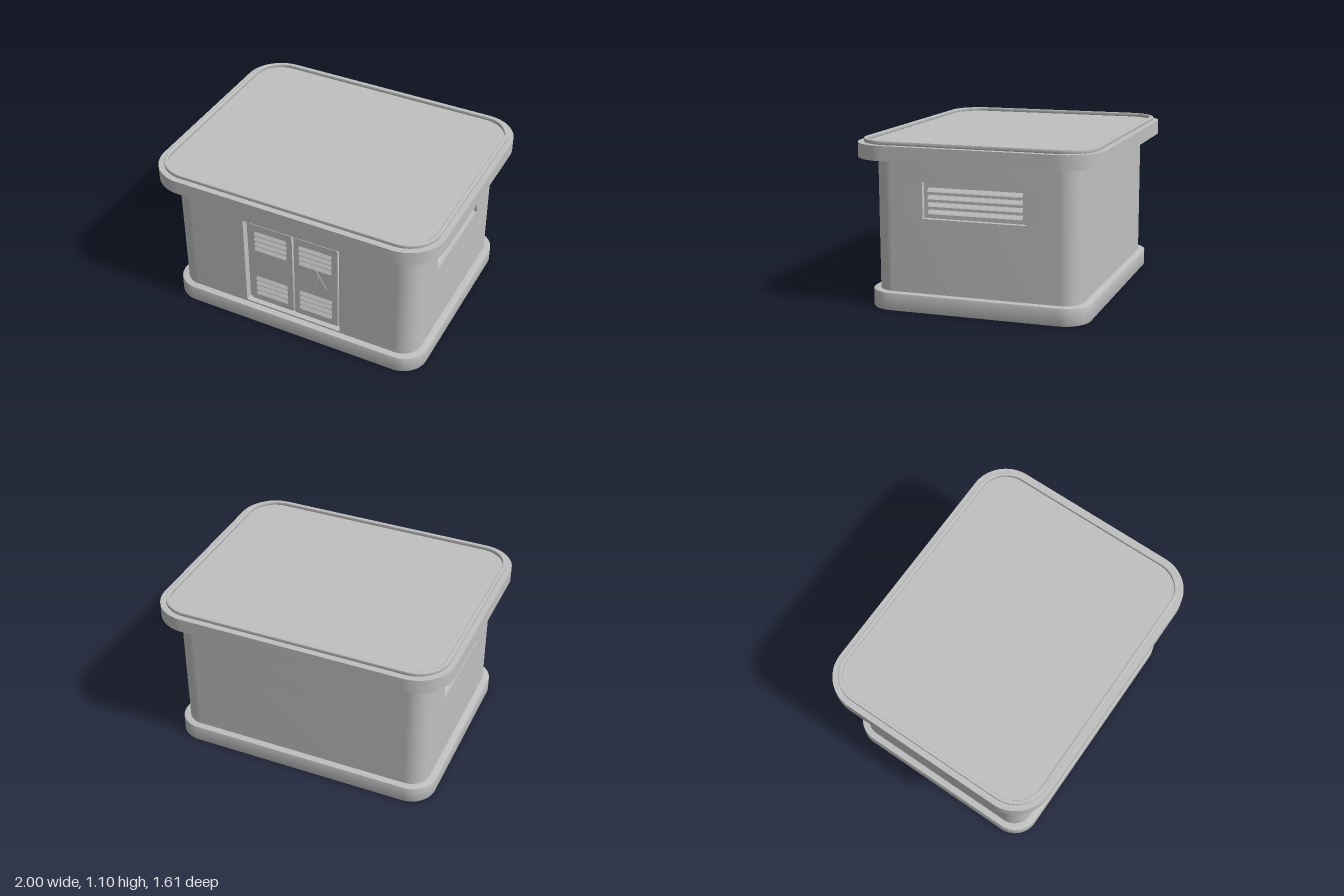
import * as THREE from 'three';
import { toCreasedNormals } from 'three/addons/utils/BufferGeometryUtils.js';

const concrete = new THREE.MeshStandardMaterial({ color: 0xc0c0c0 });
concrete.name = 'grey concrete';

const DOOR_DEPTH = 0.05, VENT_DEPTH = 0.035;
const WALL_X = 0.875, WALL_Z = 0.68;

function add(parent, name, geometry, x = 0, y = 0, z = 0) {
  const mesh = new THREE.Mesh(geometry, concrete);
  mesh.name = name;
  mesh.position.set(x, y, z);
  parent.add(mesh);
  return mesh;
}

// Rounded rectangle footprint, optionally notched for the doorway and side vents
function footprint(hx, hz, r, door = false, vents = false) {
  const s = new THREE.Shape();
  s.moveTo(-hx + r, -hz);
  if (door) {
    s.lineTo(-0.353, -hz);
    s.lineTo(-0.353, -hz + DOOR_DEPTH);
    s.lineTo(0.347, -hz + DOOR_DEPTH);
    s.lineTo(0.347, -hz);
  }
  const notch = (side) => {
    s.lineTo(side * hx, -side * 0.34);
    s.lineTo(side * (hx - VENT_DEPTH), -side * 0.34);
    s.lineTo(side * (hx - VENT_DEPTH), side * 0.34);
    s.lineTo(side * hx, side * 0.34);
  };
  s.lineTo(hx - r, -hz);
  s.absarc(hx - r, -hz + r, r, -Math.PI / 2, 0);
  if (vents) notch(1);
  s.absarc(hx - r, hz - r, r, 0, Math.PI / 2);
  s.absarc(-hx + r, hz - r, r, Math.PI / 2, Math.PI);
  if (vents) notch(-1);
  s.absarc(-hx + r, -hz + r, r, Math.PI, Math.PI * 1.5);
  return s;
}

// Extrude a footprint upward from y0 to y1; the bevel cuts into the shape
function slab(shape, y0, y1, bevel = 0) {
  const g = new THREE.ExtrudeGeometry(shape, {
    depth: y1 - y0 - 2 * bevel, curveSegments: 16, bevelEnabled: bevel > 0,
    bevelSize: bevel, bevelThickness: bevel, bevelOffset: -bevel, bevelSegments: 2,
  });
  g.translate(0, 0, y0 + bevel);
  g.rotateX(-Math.PI / 2);
  return toCreasedNormals(g, 0.5);
}

// Louvre slat: a wedge along x whose lower edge juts out toward +z
function slatGeometry(length, height, out) {
  const s = new THREE.Shape();
  s.moveTo(0, -height / 2);
  s.lineTo(out, -height / 2);
  s.lineTo(out * 0.8, -height / 4);
  s.lineTo(0, height / 2);
  const g = new THREE.ExtrudeGeometry(s, { depth: length, bevelEnabled: false });
  g.translate(0, 0, -length / 2);
  g.rotateY(-Math.PI / 2);
  return g;
}

function polygon(points, depth) {
  const s = new THREE.Shape(points.map(([x, y]) => new THREE.Vector2(x, y)));
  return new THREE.ExtrudeGeometry(s, { depth, bevelEnabled: false });
}

function doorLeaf(name, x0, x1) {
  const leaf = new THREE.Group();
  leaf.name = name;
  const w = x1 - x0, h = 0.64, t = 0.022, r = 0.008;
  leaf.position.set((x0 + x1) / 2, 0.46, WALL_Z - DOOR_DEPTH);
  const panel = new THREE.ExtrudeGeometry(footprint(w / 2, h / 2, r), {
    depth: t, curveSegments: 4, bevelEnabled: false,
  });
  add(leaf, 'doorPanel', toCreasedNormals(panel, 0.5));
  const slat = slatGeometry(0.232, 0.023, 0.015);
  for (const top of [0.715, 0.335]) {
    for (let i = 0; i < 4; i++) {
      add(leaf, 'doorLouvre', slat, 0, top - i * 0.0415 - 0.46, t);
    }
  }
  return leaf;
}

export function createModel() {
  const model = new THREE.Group();
  model.name = 'substationKiosk';

  // Plinth
  add(model, 'plinth', slab(footprint(0.92, 0.725, 0.17), 0, 0.118, 0.008));

  // Walls in height bands, each with the openings found at that level
  const bands = [
    [0.118, 0.13, false, false],
    [0.13, 0.603, true, false],
    [0.603, 0.81, true, true],
    [0.81, 0.837, false, true],
    [0.837, 0.975, false, false],
  ];
  const walls = new THREE.Group();
  walls.name = 'walls';
  for (const [y0, y1, door, vents] of bands) {
    add(walls, 'wallBand', slab(footprint(WALL_X, WALL_Z, 0.13, door, vents), y0, y1));
  }
  model.add(walls);

  // Roof slab and its raised rim
  add(model, 'roofSlab', slab(footprint(1, 0.805, 0.25), 0.975, 1.07));
  const rim = footprint(0.962, 0.767, 0.212);
  rim.holes.push(footprint(0.937, 0.742, 0.187));
  add(model, 'roofRim', slab(rim, 1.07, 1.095, 0.004));

  // Double doors
  model.add(doorLeaf('leftDoor', -0.323, -0.009));
  const rightDoor = doorLeaf('rightDoor', 0.003, 0.318);
  model.add(rightDoor);

  // Warning plate with a bolt
  const sign = new THREE.Group();
  sign.name = 'warningSign';
  sign.position.set(0.003, 0.035, 0.022);
  add(sign, 'signPlate', polygon([[-0.08, -0.065], [0.08, -0.065], [0, 0.075]], 0.005));
  add(sign, 'signBolt', polygon([
    [0.008, 0.012], [-0.022, -0.026], [-0.003, -0.022], [-0.012, -0.045], [-0.017, -0.043],
    [-0.004, -0.062], [0.012, -0.047], [0.005, -0.047], [0.02, -0.01], [0.003, -0.014], [0.02, 0.012],
  ], 0.004), 0, 0, 0.005);
  rightDoor.add(sign);

  // Louvred vents on both sides
  const ventSlat = slatGeometry(0.62, 0.024, 0.026);
  for (const side of [1, -1]) {
    const vent = new THREE.Group();
    vent.name = side > 0 ? 'leftVent' : 'rightVent';
    vent.position.x = side * (WALL_X - VENT_DEPTH);
    vent.rotation.y = side * Math.PI / 2;
    for (let i = 0; i < 4; i++) add(vent, 'ventSlat', ventSlat, 0, 0.787 - i * 0.0467, 0);
    model.add(vent);
  }
  return model;
}
